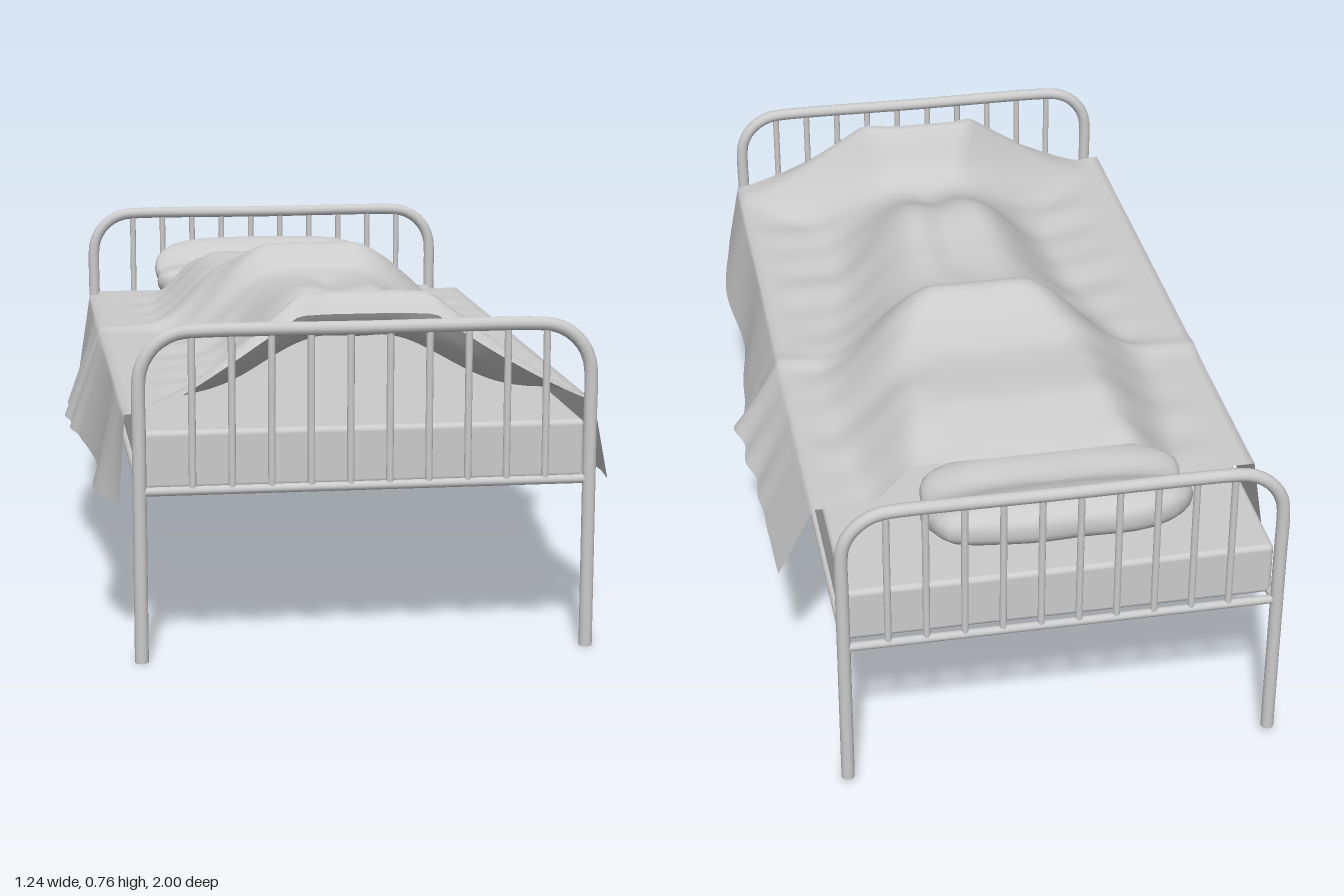
import * as THREE from 'three';
import { RoundedBoxGeometry } from 'three/addons/geometries/RoundedBoxGeometry.js';

const material = new THREE.MeshStandardMaterial({ color: 0xcccccc });
const clothMaterial = new THREE.MeshStandardMaterial({ color: 0xcccccc, side: THREE.DoubleSide });
const { lerp, clamp, smoothstep } = THREE.MathUtils;
const CX = -0.015; // middle of the bed frame

function mesh(name, geometry, mat = material) {
  const m = new THREE.Mesh(geometry, mat);
  m.name = name;
  return m;
}

// Smooth curve through [position, value] pairs
function along(keys, p) {
  const n = keys.length - 1;
  if (p <= keys[0][0]) return keys[0][1];
  if (p >= keys[n][0]) return keys[n][1];
  let i = 0;
  while (p > keys[i + 1][0]) i++;
  const slope = (k) => {
    const a = keys[Math.max(k - 1, 0)], b = keys[Math.min(k + 1, n)];
    return (b[1] - a[1]) / (b[0] - a[0]);
  };
  const d = keys[i + 1][0] - keys[i][0], t = (p - keys[i][0]) / d;
  const t2 = t * t, t3 = t2 * t;
  return (2 * t3 - 3 * t2 + 1) * keys[i][1] + (t3 - 2 * t2 + t) * d * slope(i)
    + (3 * t2 - 2 * t3) * keys[i + 1][1] + (t3 - t2) * d * slope(i + 1);
}

const bump = (p, centre, width) => Math.exp(-(((p - centre) / width) ** 2));

function rod(name, a, b, radius) {
  const from = new THREE.Vector3(...a), to = new THREE.Vector3(...b);
  const dir = to.clone().sub(from);
  const m = mesh(name, new THREE.CylinderGeometry(radius, radius, dir.length(), 12));
  m.position.copy(from).lerp(to, 0.5);
  m.quaternion.setFromUnitVectors(new THREE.Vector3(0, 1, 0), dir.normalize());
  return m;
}

// Bent tube with its bars and lower rail
function bedEnd(name, z, foot) {
  const g = new THREE.Group();
  g.name = name;
  const w = 0.488, top = 0.72, r = 0.11;
  const v = (x, y) => new THREE.Vector3(CX + x, y, 0);
  const points = [v(-w, foot), v(-w, 0.3), v(-w, 0.5)];
  for (let i = 0; i <= 6; i++) {
    const a = Math.PI - (i / 6) * Math.PI / 2;
    points.push(v(-w + r + r * Math.cos(a), top - r + r * Math.sin(a)));
  }
  const right = points.map((p) => v(CX - p.x, p.y)).reverse();
  const path = new THREE.CatmullRomCurve3([...points, v(0, top), ...right], false, 'centripetal');
  g.add(mesh('bentTube', new THREE.TubeGeometry(path, 120, 0.015, 12)));
  for (const s of [-1, 1]) {
    const cap = mesh('footCap', new THREE.CylinderGeometry(0.015, 0.015, 0.004, 12));
    cap.position.set(CX + s * w, foot + 0.002, 0);
    g.add(cap);
  }
  g.add(rod('lowerRail', [CX - w, 0.376, 0], [CX + w, 0.376, 0], 0.01));
  for (let i = 0; i < 10; i++) {
    const x = -0.39 + i * 0.085;
    g.add(rod('bar', [x, 0.376, 0], [x, top, 0], 0.008));
  }
  g.position.z = z;
  return g;
}

// Blanket: ridge height, body width and hem lines along the bed
const ridge = [[-0.68, 0.625], [-0.6, 0.65], [-0.5, 0.675], [-0.3, 0.675], [-0.2, 0.705], [-0.1, 0.75],
  [0, 0.695], [0.2, 0.695], [0.4, 0.708], [0.6, 0.64], [0.69, 0.665], [0.75, 0.75], [0.78, 0.762], [0.82, 0.72]];
const core = [[-0.68, 0.24], [-0.5, 0.2], [-0.25, 0.18], [-0.1, 0.1], [0.3, 0.08], [0.6, 0.06], [0.76, 0.14], [0.82, 0.15]];
const outer = [[-0.68, 0.37], [-0.5, 0.4], [-0.2, 0.42], [0, 0.37], [0.3, 0.31], [0.6, 0.34], [0.74, 0.48], [0.82, 0.49]];
const hemRight = [[-0.68, 0.58], [-0.3, 0.59], [-0.1, 0.61], [0, 0.58], [0.2, 0.56], [0.35, 0.54], [0.6, 0.56], [0.82, 0.525]];
const hemLeft = [[-0.68, -0.565], [-0.5, -0.57], [-0.3, -0.605], [-0.1, -0.615], [0.1, -0.59], [0.4, -0.57], [0.65, -0.59], [0.82, -0.545]];
const dropRight = [[-0.68, 0.37], [-0.3, 0.365], [-0.1, 0.375], [-0.04, 0.335], [0.1, 0.32], [0.3, 0.32], [0.6, 0.335], [0.82, 0.365]];
const dropLeft = [[-0.68, 0.31], [-0.4, 0.32], [0, 0.31], [0.4, 0.325], [0.82, 0.34]];

function blanketTop(x, s) {
  const a = Math.abs(x - 0.01), c = along(core, s), w = along(outer, s);
  const k = clamp((a - c) / (w - c), 0, 1);
  const tent = smoothstep(s, 0.6, 0.75);
  const f = lerp(1 - smoothstep(k, 0, 1), Math.pow(1 - k, 1.25), tent);
  let y = 0.535 + (along(ridge, s) - 0.535) * f;
  // Valley between the legs, soft folds beside the body and a crease across the waist
  const legs = smoothstep(s, 0, 0.15) * (1 - smoothstep(s, 0.5, 0.68));
  y -= 0.015 * legs * bump(x, 0.02, 0.04);
  const side = smoothstep(a, 0.12, 0.28) * (1 - smoothstep(a, 0.38, 0.49));
  y += 0.005 * side * Math.sin(s * 34 + x * 5) * Math.sin(s * 9 + 1 + x * 3);
  return y + 0.008 * bump(s, -0.09 + 0.1 * (x - 0.3), 0.025) * smoothstep(a, 0.25, 0.4);
}

function blanket() {
  const geo = new THREE.PlaneGeometry(1, 1, 80, 100);
  const pos = geo.attributes.position, uv = geo.attributes.uv;
  const side = 0.15, left = -0.53, right = 0.495;
  for (let i = 0; i < pos.count; i++) {
    const u = uv.getX(i), s = lerp(-0.68, 0.82, 1 - uv.getY(i));
    const d = Math.max(side - u, u - (1 - side), 0) / side; // 0 on top, 1 at the hem
    let x = lerp(left, right, clamp((u - side) / (1 - 2 * side), 0, 1));
    // Front hem is drawn back over the feet
    const reach = 0.81 + 0.125 * clamp((Math.abs(x) - 0.08) / 0.44, 0, 1) + 0.015 * d;
    const z = lerp(-0.68, reach, (s + 0.68) / 1.5);
    let y = blanketTop(x, s);
    if (d > 0) {
      const isRight = u > 0.5;
      const fold = 0.008 * d * Math.sin(s * 45) * bump(s, -0.2, 0.2);
      const hem = along(isRight ? hemRight : hemLeft, s);
      x = lerp(x, hem, d) + fold;
      y = lerp(y, along(isRight ? dropRight : dropLeft, s), d);
    }
    pos.setXYZ(i, x, y, z);
  }
  geo.computeVertexNormals();
  return mesh('blanket', geo, clothMaterial);
}

// Pillow: squared-off ellipsoid, raised at the head end and dented in the middle
function pillow() {
  const geo = new THREE.SphereGeometry(1, 48, 28);
  const pos = geo.attributes.position;
  for (let i = 0; i < pos.count; i++) {
    const px = pos.getX(i), py = pos.getY(i), pz = pos.getZ(i);
    const angle = Math.atan2(pz, px), c = Math.cos(angle), s = Math.sin(angle);
    const q = Math.pow(Math.hypot(px, pz), 0.85) / Math.pow(c ** 4 + s ** 4, 0.25);
    const x = q * c, z = q * s;
    const dent = py > 0 ? 1 - 0.3 * bump(z, 0.1, 0.4) : 1;
    const edge = 1 + 0.015 * Math.sin(x * 9 + z * 7);
    const depth = -0.785 + 0.175 * z * edge;
    const rise = 0.565 + 0.042 * smoothstep(-depth, 0.74, 0.93);
    const puff = Math.sign(py) * Math.pow(Math.abs(py), 0.75);
    pos.setXYZ(i, -0.035 + x * 0.302 * edge - 0.01 * z, rise + puff * 0.066 * dent, depth);
  }
  geo.computeVertexNormals();
  return mesh('pillow', geo);
}

export function createModel() {
  const bed = new THREE.Group();
  bed.name = 'bed';
  bed.add(bedEnd('footEnd', 0.985, 0), bedEnd('headEnd', -0.985, 0.015));

  // Side rails
  for (const s of [-1, 1]) {
    const x = CX + s * 0.482;
    bed.add(rod('sideRail', [x, 0.376, -0.985], [x, 0.376, 0.985], 0.011));
  }

  // Mattress
  const mattress = mesh('mattress', new RoundedBoxGeometry(0.965, 0.128, 1.925, 3, 0.012));
  mattress.position.set(CX, 0.438, 0.002);
  bed.add(mattress, pillow(), blanket());
  return bed;
}
